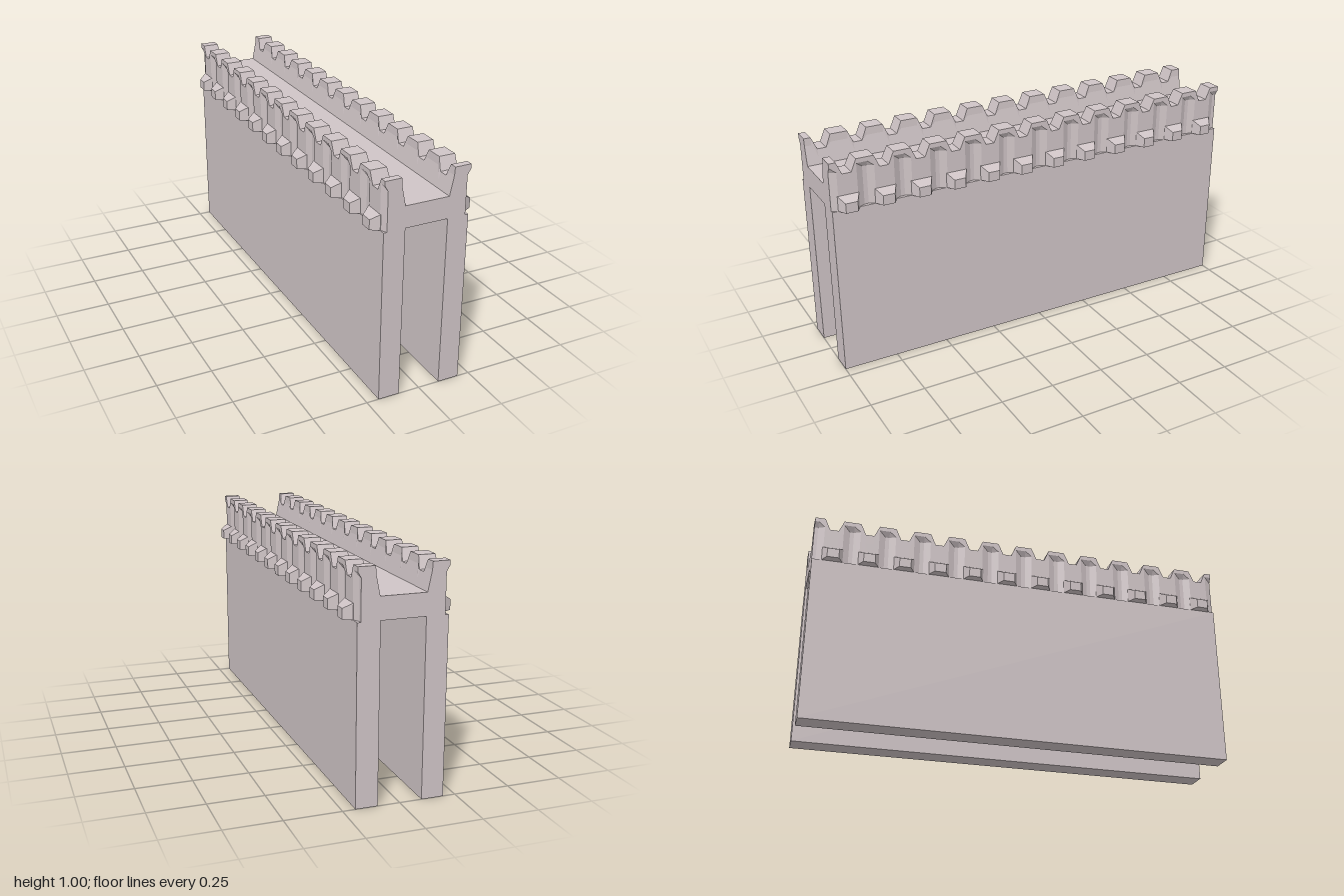
import * as THREE from 'three';
import { ConvexGeometry } from 'three/addons/geometries/ConvexGeometry.js';

const X = 0.195;          // outer face of the wall
const BASE = 0.78;        // underside of the walkway
const PITCH = 1 / 6;      // battlement spacing
const COUNT = 12;
const notchZ = (i) => 0.925 - i * PITCH;

// Inner parapet face, leaning outwards as it rises
const innerX = (y) => (y > 0.965 ? 0.118 + (y - 0.965) * 0.06 : 0.1 + (y - 0.878) * 0.207);

// Walkway cross-section for parapet height h and outer groove depth r
function section(h, r) {
  const half = [
    [X - r, BASE], [X - r, h - 0.045], [X, h - 0.02], [X, h],
    [innerX(h), h], [innerX(h - 0.035), h - 0.035], [0.1, 0.878],
  ];
  return [...half, ...half.map(([x, y]) => [-x, y]).reverse()];
}

// Loft through sections ordered from front to back, with closed ends
function loft(stations) {
  const pos = [];
  const put = (...pts) => pts.forEach((p) => pos.push(...p));
  const rings = stations.map(([z, h, r]) => section(h, r).map(([x, y]) => [x, y, z]));
  const n = rings[0].length;
  for (let i = 0; i < rings.length - 1; i++) {
    for (let j = 0; j < n; j++) {
      const k = (j + 1) % n;
      const [f, b] = [rings[i], rings[i + 1]];
      put(f[j], b[j], f[k], f[k], b[j], b[k]);
    }
  }
  const front = rings[0], back = rings[rings.length - 1];
  const contour = front.map(([x, y]) => new THREE.Vector2(x, y));
  for (const [a, b, c] of THREE.ShapeUtils.triangulateShape(contour, [])) {
    put(front[a], front[b], front[c]);
    put(back[a], back[c], back[b]);
  }
  const geo = new THREE.BufferGeometry();
  geo.setAttribute('position', new THREE.Float32BufferAttribute(pos, 3));
  geo.computeVertexNormals();
  return geo;
}

export function createModel() {
  const group = new THREE.Group();
  group.name = 'battlementWall';
  const stone = new THREE.MeshStandardMaterial({ color: 0xcfc4c6, flatShading: true });
  const add = (name, geo, x = 0, y = 0, z = 0) => {
    const mesh = new THREE.Mesh(geo, stone);
    mesh.name = name;
    mesh.position.set(x, y, z);
    group.add(mesh);
  };

  // Walkway with notched parapets; grooves run under each merlon
  const depth = 0.015;
  const stations = [[1, 1, depth]];
  for (let i = 0; i < COUNT; i++) {
    const c = notchZ(i);
    if (i > 0) stations.push([c + 0.074, 1, depth]);
    stations.push([c + 0.044, 1, 0], [c + 0.02, 0.945, 0], [c - 0.02, 0.945, 0], [c - 0.044, 1, 0], [c - 0.074, 1, depth]);
  }
  stations.push([-1, 1, depth]);
  add('walkwayAndParapets', loft(stations));

  // Two long supporting walls
  const wall = new THREE.BoxGeometry(0.0975, BASE, 2);
  for (const s of [1, -1]) {
    add(s > 0 ? 'leftWall' : 'rightWall', wall, s * (X - 0.04875), BASE / 2, 0);

    // Tapered corbel below every notch
    const pts = [];
    for (const t of [1, -1]) {
      for (const [x, y, z] of [[X - 0.01, BASE, 0.048], [X, BASE, 0.048], [X - 0.01, 0.848, 0.048],
        [X, 0.848, 0.048], [0.2325, BASE, 0.027], [0.2325, 0.825, 0.027]]) {
        pts.push(new THREE.Vector3(s * x, y, t * z));
      }
    }
    const corbel = new ConvexGeometry(pts);
    for (let i = 0; i < COUNT; i++) add('corbel', corbel, 0, 0, notchZ(i));
  }
  return group;
}
